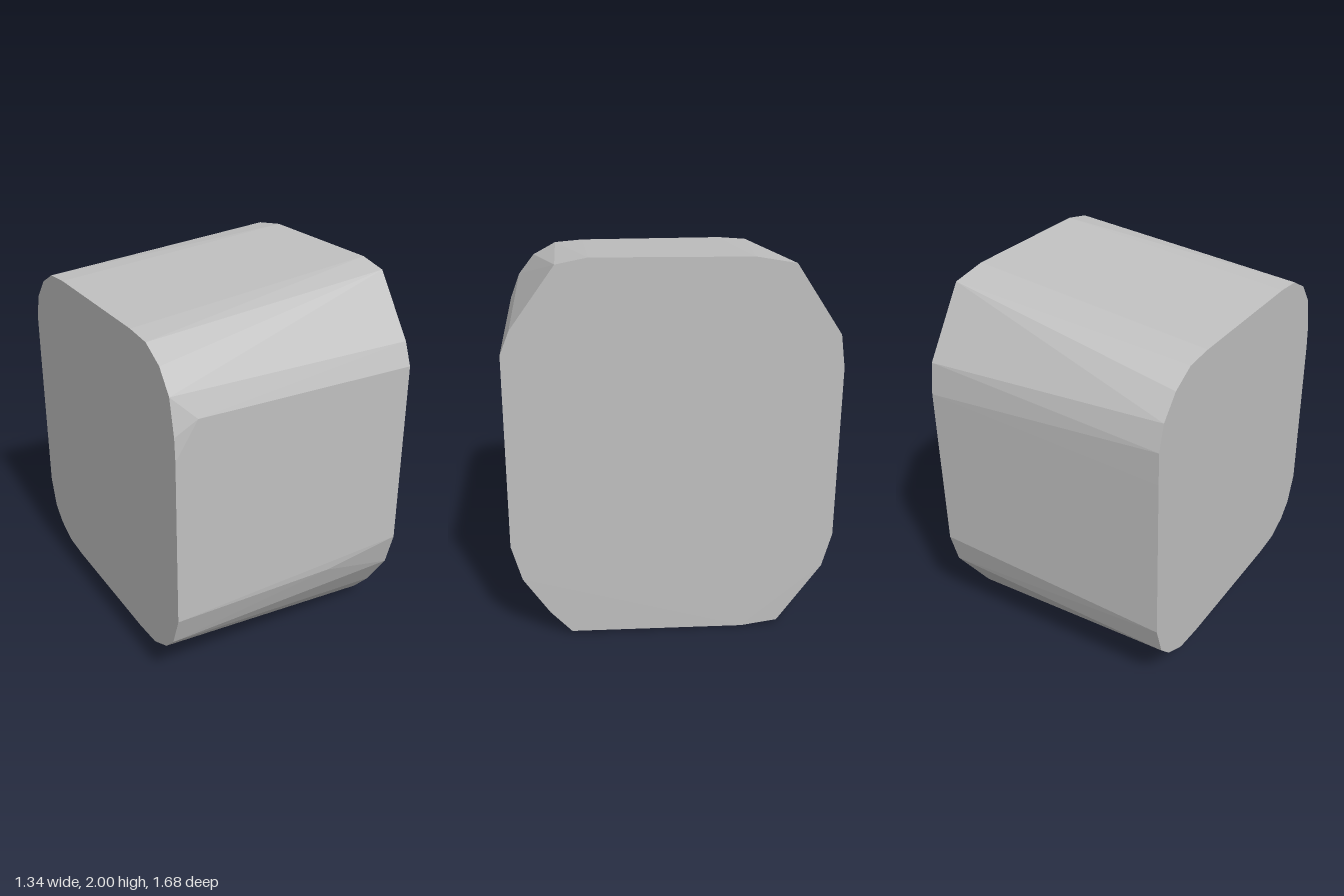
import * as THREE from 'three';
import { ConvexGeometry } from 'three/addons/geometries/ConvexGeometry.js';

// Outlines of the two end faces as [z, y]
const largeEnd = [
  [0.41, 2.0], [0.565, 1.97], [0.79, 1.66], [0.838, 1.54],
  [0.838, 0.53], [0.785, 0.34], [0.65, 0.14], [0.54, 0.02],
  [-0.36, 0.0], [-0.55, 0.025], [-0.78, 0.34], [-0.83, 0.52],
  [-0.838, 1.43], [-0.815, 1.6], [-0.58, 1.955], [-0.38, 1.99],
];
const smallEnd = [
  [0.41, 1.853], [0.57, 1.84], [0.7, 1.77], [0.79, 1.655], [0.83, 1.47], [0.838, 1.35],
  [0.838, 0.46], [0.78, 0.3], [0.7, 0.22], [0.57, 0.16], [0.4, 0.148],
  [-0.4, 0.148], [-0.57, 0.16], [-0.7, 0.22], [-0.78, 0.3], [-0.83, 0.46],
  [-0.838, 1.35], [-0.838, 1.52], [-0.8, 1.655], [-0.7, 1.77], [-0.57, 1.84], [-0.41, 1.853],
];

export function createModel() {
  const group = new THREE.Group();
  group.name = 'taperedBlock';
  const grey = new THREE.MeshStandardMaterial({ color: 0xc0c0c0 });
  grey.name = 'light grey';

  const place = (outline, x) => outline.map(([z, y]) => new THREE.Vector3(x, y, z));
  const points = [
    ...place(largeEnd, 0.67),
    ...place(smallEnd, -0.67),
    // Small facets near the narrow end and along the lower edge
    new THREE.Vector3(-0.55, 1.54, 0.838),
    new THREE.Vector3(0.23, 0.46, 0.834),
  ];

  // Faceted body wrapped around both ends
  const body = new THREE.Mesh(new ConvexGeometry(points), grey);
  body.name = 'body';
  group.add(body);
  return group;
}
